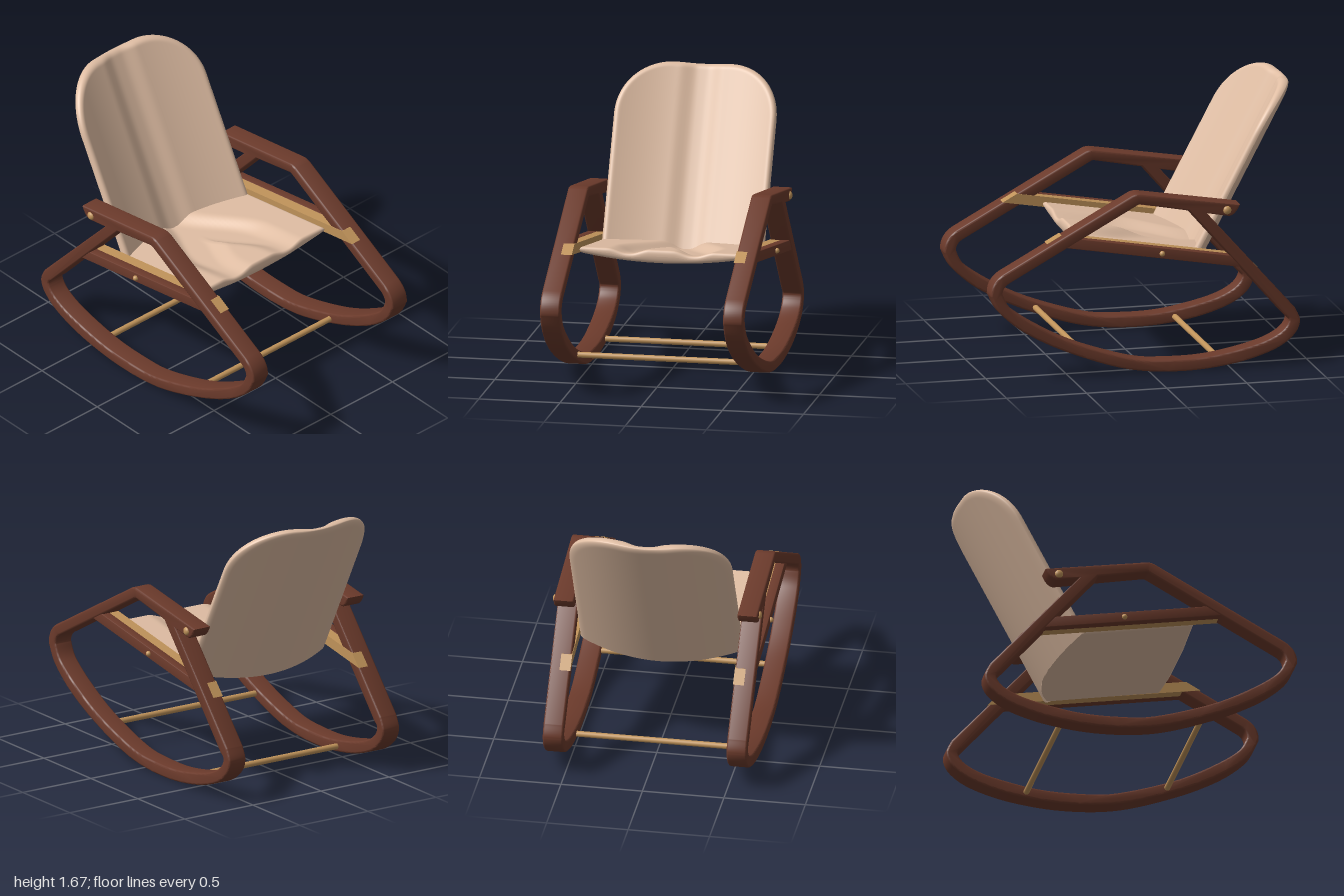
import * as THREE from 'three';
import { toCreasedNormals } from 'three/addons/utils/BufferGeometryUtils.js';

const mat = (name, color) => Object.assign(new THREE.MeshStandardMaterial({ color }), { name });
const smooth = THREE.MathUtils.smoothstep;
const pts = (list) => list.map(([x, y]) => new THREE.Vector2(x, y));

// Side frame outline: rocker, legs and arm in one loop, with the opening as a hole
function frameShape() {
  const s = new THREE.Shape();
  s.moveTo(-0.557, 1.02);
  s.lineTo(0.06, 1.122);
  s.quadraticCurveTo(0.085, 1.127, 0.115, 1.115);
  s.lineTo(0.92, 0.675);
  s.bezierCurveTo(0.97, 0.645, 1.0, 0.6, 0.998, 0.54);
  s.splineThru(pts([[0.93, 0.42], [0.76, 0.285], [0.49, 0.152], [0.14, 0.035], [-0.2, 0.002],
    [-0.52, 0.03], [-0.76, 0.097], [-0.888, 0.18], [-0.932, 0.27], [-0.9, 0.355]]));
  s.lineTo(-0.35, 0.977);
  s.lineTo(-0.49, 0.95);
  s.quadraticCurveTo(-0.53, 0.955, -0.557, 1.02);
  const h = new THREE.Path();
  h.moveTo(-0.235, 1.0);
  h.lineTo(0.06, 1.057);
  h.quadraticCurveTo(0.075, 1.06, 0.09, 1.05);
  h.lineTo(0.885, 0.615);
  h.quadraticCurveTo(0.925, 0.59, 0.925, 0.55);
  h.splineThru(pts([[0.87, 0.455], [0.7, 0.335], [0.46, 0.213], [0.12, 0.102], [-0.1, 0.077],
    [-0.37, 0.083], [-0.66, 0.14], [-0.81, 0.205], [-0.862, 0.275], [-0.83, 0.315]]));
  // the opening must wind opposite to the outline
  s.holes.push(new THREE.Path(h.getPoints(10).reverse()));
  return s;
}

// Extrusion spanning z0..z1, edges rounded by bevel inside the outline
function slab(shape, z0, z1, bevel) {
  const g = new THREE.ExtrudeGeometry(shape, {
    depth: z1 - z0 - 2 * bevel, curveSegments: 10, bevelEnabled: bevel > 0,
    bevelSize: bevel, bevelThickness: bevel, bevelOffset: -bevel, bevelSegments: 3,
  });
  g.translate(0, 0, z0 + bevel);
  return toCreasedNormals(g, 0.6);
}

// Closed cushion-like sheet: point(u, v, side) gives the upper (+1) and lower (-1) skins
function sheet(nu, nv, point) {
  const pos = [], idx = [];
  for (const side of [1, -1]) {
    const base = pos.length / 3;
    for (let j = 0; j <= nv; j++)
      for (let i = 0; i <= nu; i++) pos.push(...point(i / nu, j / nv, side));
    for (let j = 0; j < nv; j++)
      for (let i = 0; i < nu; i++) {
        const a = base + j * (nu + 1) + i, b = a + 1, c = a + nu + 1, d = c + 1;
        if (side > 0) idx.push(a, c, b, b, c, d);
        else idx.push(a, b, c, b, d, c);
      }
  }
  const g = new THREE.BufferGeometry();
  g.setAttribute('position', new THREE.Float32BufferAttribute(pos, 3));
  g.setIndex(idx);
  g.computeVertexNormals();
  return g;
}

// Packs samples toward both ends, and the rounded-edge thickness factor
const ease = (u) => Math.sin((u - 0.5) * Math.PI);
const round = (dist, r) => Math.sqrt(Math.max(0, 1 - (1 - Math.min(Math.max(dist, 0), r) / r) ** 2));

// Backrest: bowed panel with rounded top corners and a shallow spine groove
function backrestPoint(u, v, side) {
  const s = 1.195 * Math.sin(v * Math.PI / 2);
  const qy = Math.max(0, (s - 0.83) / 0.365);
  const w = 0.16 + 0.34 * Math.sqrt(Math.max(0, 1 - qy * qy));
  const z = w * ease(u);
  const qx = Math.max(0, (Math.abs(z) - 0.16) / 0.34);
  const f = round((1 - Math.hypot(qx, qy)) * 0.35, 0.04);
  const k = (z / 0.5) ** 2;
  const front = 0.068 + 0.122 * k - 0.022 * (1 - smooth(Math.abs(z), 0.03, 0.14));
  const rear = 0.13 * k;
  const rim = rear + 0.25 * (front - rear);
  const n = rim + f * ((side > 0 ? front : rear) - rim);
  return [-0.435 - 0.469 * s + 0.883 * n, 0.595 + 0.883 * s + 0.469 * n, z];
}

// Seat: bowed underside, hollowed top with a ridge widening forward between two scoops
function seatPoint(u, v, side) {
  const z = 0.5 * ease(u), az = Math.abs(z);
  const k = (z / 0.5) ** 2;
  const x0 = -0.43 + 0.125 * k;
  const x = x0 + (0.385 - x0) * Math.cos(v * Math.PI / 2);
  const width = 0.12 + 0.21 * smooth(x, -0.5, 0.08);
  const bowl = 1 - smooth(az, width - 0.12, width);
  const half = -0.06 + 0.19 * smooth(x, -0.25, 0.3);
  const ridge = 1 - smooth(az, half - 0.06, half + 0.06);
  const depth = (0.028 + 0.02 * (1 - smooth(x, 0.0, 0.38))) * bowl * (1 - ridge);
  const top = 0.825 + 0.17 * (x - 0.385) - depth;
  const bottom = 0.745 + 0.045 * k + 0.18 * (x - 0.385);
  const f = round(Math.min(0.5 - az, 0.385 - x), 0.018);
  return [x, (top + bottom) / 2 + side * f * (top - bottom) / 2, z];
}

export function createModel() {
  const darkWood = mat('darkWood', 0x6b3a2b);
  const lightWood = mat('lightWood', 0xc0935a);
  const shell = mat('shell', 0xdfbda3);
  shell.side = THREE.DoubleSide;
  const model = new THREE.Group();
  model.name = 'rockingChair';
  const add = (name, geometry, material, parent = model) => {
    const m = new THREE.Mesh(geometry, material);
    m.name = name;
    parent.add(m);
    return m;
  };

  add('seat', sheet(80, 56, seatPoint), shell);
  add('backrest', sheet(80, 56, backrestPoint), shell);

  const outline = frameShape();
  // Sloping seat rail, and the inner slat whose ends pass through the legs
  const railY = (x, dy) => 0.757 + 0.17 * x + dy;
  const bar = (l0, l1, r0, r1, h) => new THREE.Shape(pts([
    [l0, railY(l0, -h)], [r0, railY(r0, -h)], [r1, railY(r1, h)], [l1, railY(l1, h)]]));
  const rail = bar(-0.59, -0.57, 0.53, 0.51, 0.033);
  const slat = bar(-0.679, -0.609, 0.635, 0.546, 0.032);

  for (const [name, side] of [['frontSideFrame', 1], ['rearSideFrame', -1]]) {
    const g = new THREE.Group();
    g.name = name;
    model.add(g);
    const span = (a, b) => (side > 0 ? [a, b] : [-b, -a]);
    add('rockerFrame', slab(outline, ...span(0.502, 0.626), 0.012), darkWood, g);
    add('seatRail', slab(rail, ...span(0.563, 0.621), 0.005), darkWood, g);
    add('seatSlat', slab(slat, ...span(0.499, 0.566), 0), lightWood, g);
    // Domed pegs on the outer face
    for (const [x, y, r] of [[-0.475, 0.99, 0.026], [-0.07, 0.744, 0.017]]) {
      const peg = add('peg', new THREE.SphereGeometry(r, 20, 12), lightWood, g);
      peg.position.set(x, y, side * 0.624);
      peg.scale.z = 0.018 / r;
    }
  }

  // Cross rods joining the rockers
  for (const [x, y] of [[0.43, 0.164], [-0.44, 0.053]]) {
    const rod = add('crossRod', new THREE.CylinderGeometry(0.018, 0.018, 1.06, 20), lightWood);
    rod.rotation.x = Math.PI / 2;
    rod.position.set(x, y, 0);
  }
  return model;
}
